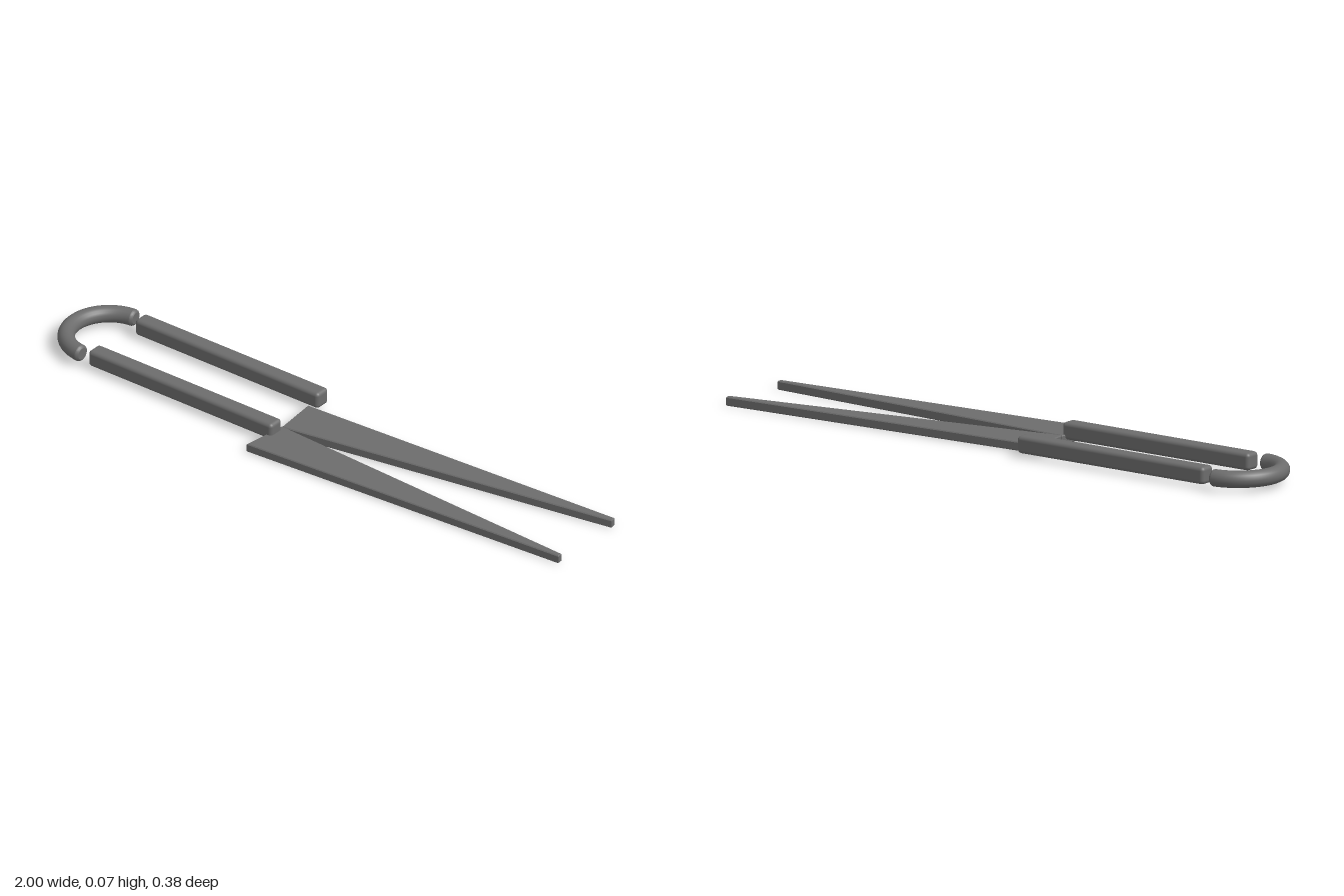
import * as THREE from 'three';
import { RoundedBoxGeometry } from 'three/addons/geometries/RoundedBoxGeometry.js';

export function createModel() {
  const group = new THREE.Group();
  const steel = new THREE.MeshStandardMaterial({ color: 0x6c6c6c });
  steel.name = 'darkSteel';

  const add = (name, geometry, parent = group) => {
    const mesh = new THREE.Mesh(geometry, steel);
    mesh.name = name;
    parent.add(mesh);
    return mesh;
  };

  // Tapered flat blades, outlines given as [x, z]
  const bevel = 0.003;
  const addBlade = (name, outline) => {
    const shape = new THREE.Shape(outline.map(([x, z]) => new THREE.Vector2(x, -z)));
    const geometry = new THREE.ExtrudeGeometry(shape, {
      depth: 0.028 - 2 * bevel, bevelEnabled: true, bevelSegments: 1,
      bevelSize: bevel, bevelThickness: bevel, bevelOffset: -bevel,
    });
    geometry.rotateX(-Math.PI / 2).translate(0, bevel, 0);
    add(name, geometry);
  };
  addBlade('backBlade', [[-0.135, -0.102], [-0.12, 0.046], [1, -0.142], [0.997, -0.161]]);
  addBlade('frontBlade', [[-0.142, 0.19], [1, 0.119], [0.999, 0.101], [-0.122, 0.042]]);

  // Straight handle bars with rounded edges
  const midY = 0.0385;
  for (const [name, z] of [['backHandle', -0.145], ['frontHandle', 0.083]]) {
    add(name, new RoundedBoxGeometry(0.705, 0.054, 0.054, 3, 0.012))
      .position.set(-0.4625, midY, z);
  }

  // Half-ring spring joining the handles, closed by bevelled caps
  const R = 0.1305, r = 0.0265, inset = 0.07;
  const spring = new THREE.Group();
  spring.name = 'springLoop';
  const a0 = Math.PI / 2 + inset, a1 = 3 * Math.PI / 2 - inset;
  add('springArc', new THREE.TorusGeometry(R, r, 20, 40, a1 - a0), spring).rotation.z = a0;
  const capProfile = [[r, 0], [r * 0.93, 0.005], [r * 0.72, 0.009], [r * 0.7, 0.009], [0, 0.009]]
    .map(([x, y]) => new THREE.Vector2(x, y));
  for (const [angle, turn] of [[a0, Math.PI], [a1, 0]]) {
    const cap = add('springEnd', new THREE.LatheGeometry(capProfile, 20), spring);
    cap.position.set(R * Math.cos(angle), R * Math.sin(angle), 0);
    cap.rotation.z = angle + turn;
  }
  spring.rotation.x = Math.PI / 2;
  spring.position.set(-0.843, midY, -0.031);
  group.add(spring);

  return group;
}
